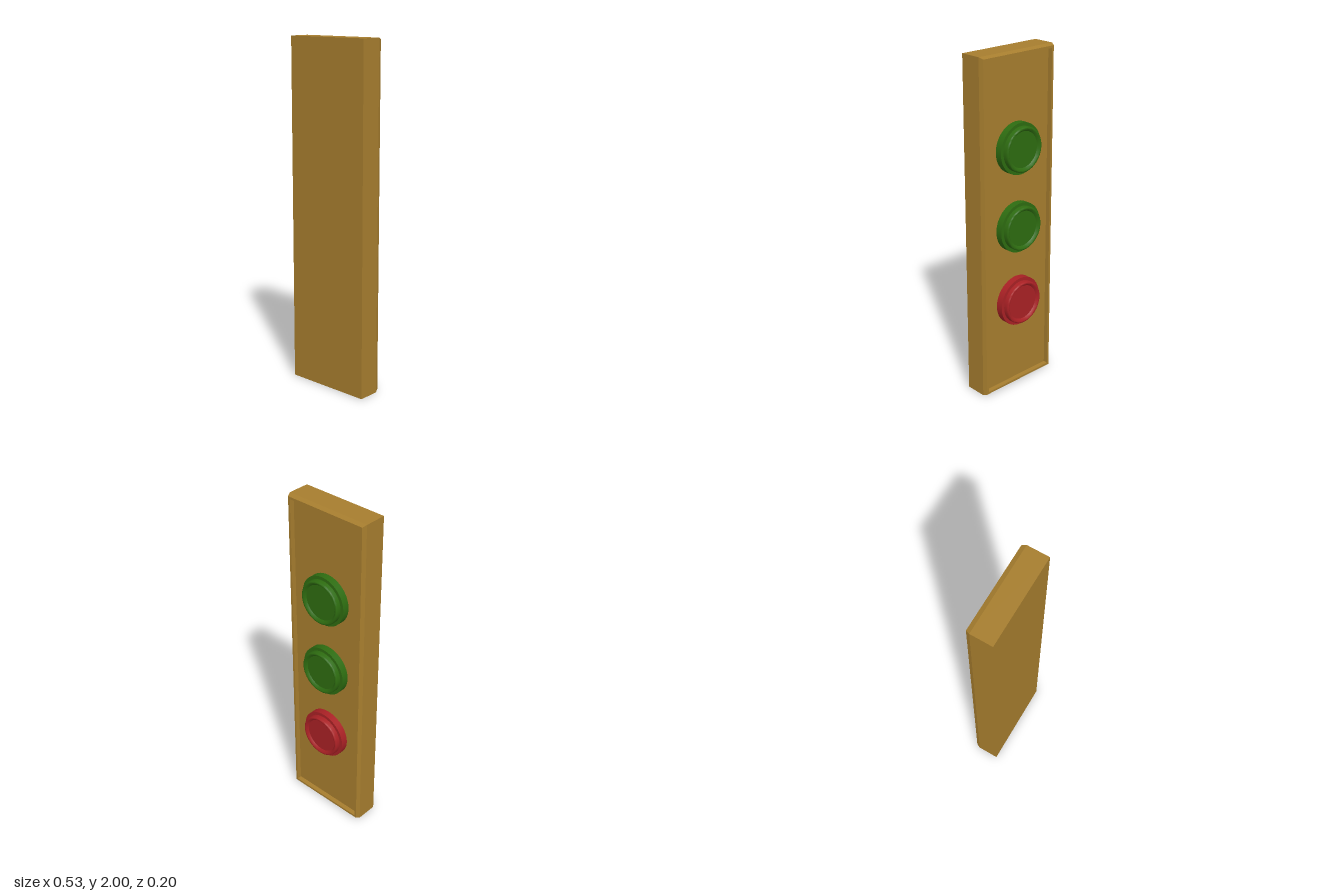
import * as THREE from 'three';
import { toCreasedNormals } from 'three/addons/utils/BufferGeometryUtils.js';

const paint = (name, color) => {
  const m = new THREE.MeshStandardMaterial({ color });
  m.name = name;
  return m;
};

// Joins rectangular sections [halfWidth, halfHeight, z], listed front to back
function rectLoft(sections) {
  const corners = [[1, 1], [-1, 1], [-1, -1], [1, -1]];
  const at = ([w, h, z], i) => [corners[i % 4][0] * w, corners[i % 4][1] * h, z];
  const pos = [];
  for (let s = 0; s < sections.length - 1; s++) {
    const [a, b] = [sections[s], sections[s + 1]];
    for (let i = 0; i < 4; i++) {
      if (b[0] > 0) pos.push(...at(a, i), ...at(b, i), ...at(b, i + 1));
      if (a[0] > 0) pos.push(...at(a, i), ...at(b, i + 1), ...at(a, i + 1));
    }
  }
  const g = new THREE.BufferGeometry();
  g.setAttribute('position', new THREE.Float32BufferAttribute(pos, 3));
  g.computeVertexNormals();
  return g;
}

export function createModel() {
  const model = new THREE.Group();
  model.name = 'buttonPanel';
  const ochre = paint('ochre', 0xa67d2e);
  const green = paint('green', 0x2d6b10);
  const red = paint('red', 0xa82024);

  // Panel: solid slab, bevelled at the back, with a shallow tray inside a thin rim
  const panel = new THREE.Mesh(rectLoft([
    [0, 0, 0.097],
    [0.263, 1, 0.097],
    [0.263, 1, -0.03],
    [0.253, 0.99, -0.054],
    [0.24, 0.977, -0.054],
    [0.24, 0.977, -0.026],
    [0, 0, -0.026],
  ]), ochre);
  panel.name = 'panel';
  panel.position.y = 1;
  model.add(panel);

  // Button profile: flange, rounded cap and dished face (radius, height)
  const profile = [
    [0.147, 0.026], [0.147, 0.067], [0.128, 0.067], [0.128, 0.09],
    [0.127, 0.095], [0.124, 0.098], [0.119, 0.099], [0.115, 0.098],
    [0.103, 0.085], [0, 0.085],
  ].map(([r, h]) => new THREE.Vector2(r, h));
  const buttonGeometry = toCreasedNormals(new THREE.LatheGeometry(profile, 48), 0.65);
  buttonGeometry.rotateX(-Math.PI / 2);

  // Three buttons up the back face
  [['lowerButton', red], ['middleButton', green], ['upperButton', green]].forEach(([name, material], i) => {
    const button = new THREE.Mesh(buttonGeometry, material);
    button.name = name;
    button.position.y = 0.542 + i * 0.462;
    model.add(button);
  });

  return model;
}
